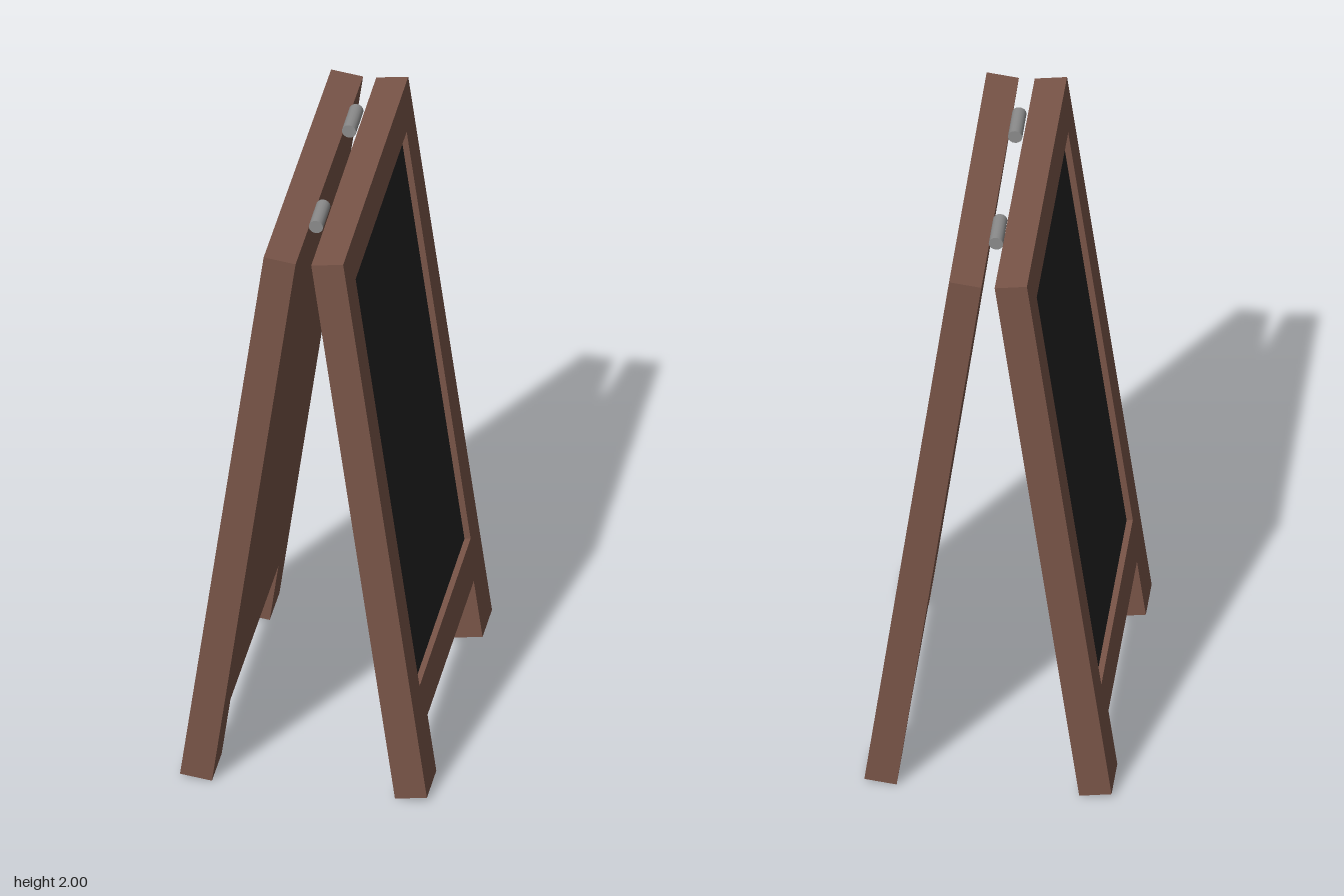
import * as THREE from 'three';

const WIDTH = 1.142, LENGTH = 1.982, THICK = 0.104; // one leaf
const LEAN = 0.1366;                                // tilt from vertical
const LEG_IN = 0.406, LEG_TOP = 0.208;              // notch between the legs
const HOLE_X = 0.448, HOLE_LOW = 0.34, HOLE_HIGH = 1.853;
const RECESS = 0.02, BOARD = 0.01;

const wood = new THREE.MeshStandardMaterial({ color: 0x795548 });
const slate = new THREE.MeshStandardMaterial({ color: 0x222222 });
const metal = new THREE.MeshStandardMaterial({ color: 0x8c8c8c });

function part(name, geometry, material) {
  const mesh = new THREE.Mesh(geometry, material);
  mesh.name = name;
  return mesh;
}

// One leaf: x across, y up, outer face on z = 0 looking to +z
function createLeaf() {
  const leaf = new THREE.Group();
  const w = WIDTH / 2;

  // frame with two legs and a board opening
  const outline = new THREE.Shape([
    [-w, 0], [-LEG_IN, 0], [-LEG_IN, LEG_TOP], [LEG_IN, LEG_TOP],
    [LEG_IN, 0], [w, 0], [w, LENGTH], [-w, LENGTH],
  ].map(([x, y]) => new THREE.Vector2(x, y)));
  outline.holes.push(new THREE.Path([
    [-HOLE_X, HOLE_LOW], [-HOLE_X, HOLE_HIGH], [HOLE_X, HOLE_HIGH], [HOLE_X, HOLE_LOW],
  ].map(([x, y]) => new THREE.Vector2(x, y))));
  const frameGeometry = new THREE.ExtrudeGeometry(outline, { depth: THICK, bevelEnabled: false });
  frameGeometry.translate(0, 0, -THICK);
  leaf.add(part('frame', frameGeometry, wood));

  // wooden backing flush with the inner face, and the recessed board on it
  const holeHeight = HOLE_HIGH - HOLE_LOW, holeY = (HOLE_HIGH + HOLE_LOW) / 2;
  const backDepth = THICK - RECESS - BOARD;
  const backing = part('backing', new THREE.BoxGeometry(HOLE_X * 2, holeHeight, backDepth), wood);
  backing.position.set(0, holeY, -THICK + backDepth / 2);
  const board = part('chalkboard', new THREE.BoxGeometry(HOLE_X * 2, holeHeight, BOARD), slate);
  board.position.set(0, holeY, -RECESS - BOARD / 2);
  leaf.add(backing, board);

  leaf.rotation.x = -LEAN;
  leaf.position.set(0, THICK * Math.sin(LEAN), 0.396);
  return leaf;
}

export function createModel() {
  const model = new THREE.Group();
  model.name = 'sandwichBoard';

  // two leaves leaning together, the right one turned by a hair
  const sides = [
    { name: 'leftLeaf', turn: Math.PI / 2, z: -0.003 },
    { name: 'rightLeaf', turn: -Math.PI / 2 - 0.007, z: -0.001 },
  ];
  for (const { name, turn, z } of sides) {
    const side = new THREE.Group();
    side.name = name;
    side.add(createLeaf());
    side.rotation.y = turn;
    side.position.z = z;
    model.add(side);
  }

  // hinge barrels along the top gap
  for (const [name, z] of [['backHinge', -0.285], ['frontHinge', 0.295]]) {
    const hinge = part(name, new THREE.CylinderGeometry(0.023, 0.023, 0.13, 16), metal);
    hinge.rotation.x = Math.PI / 2;
    hinge.position.set(0, 1.977, z);
    model.add(hinge);
  }
  return model;
}
